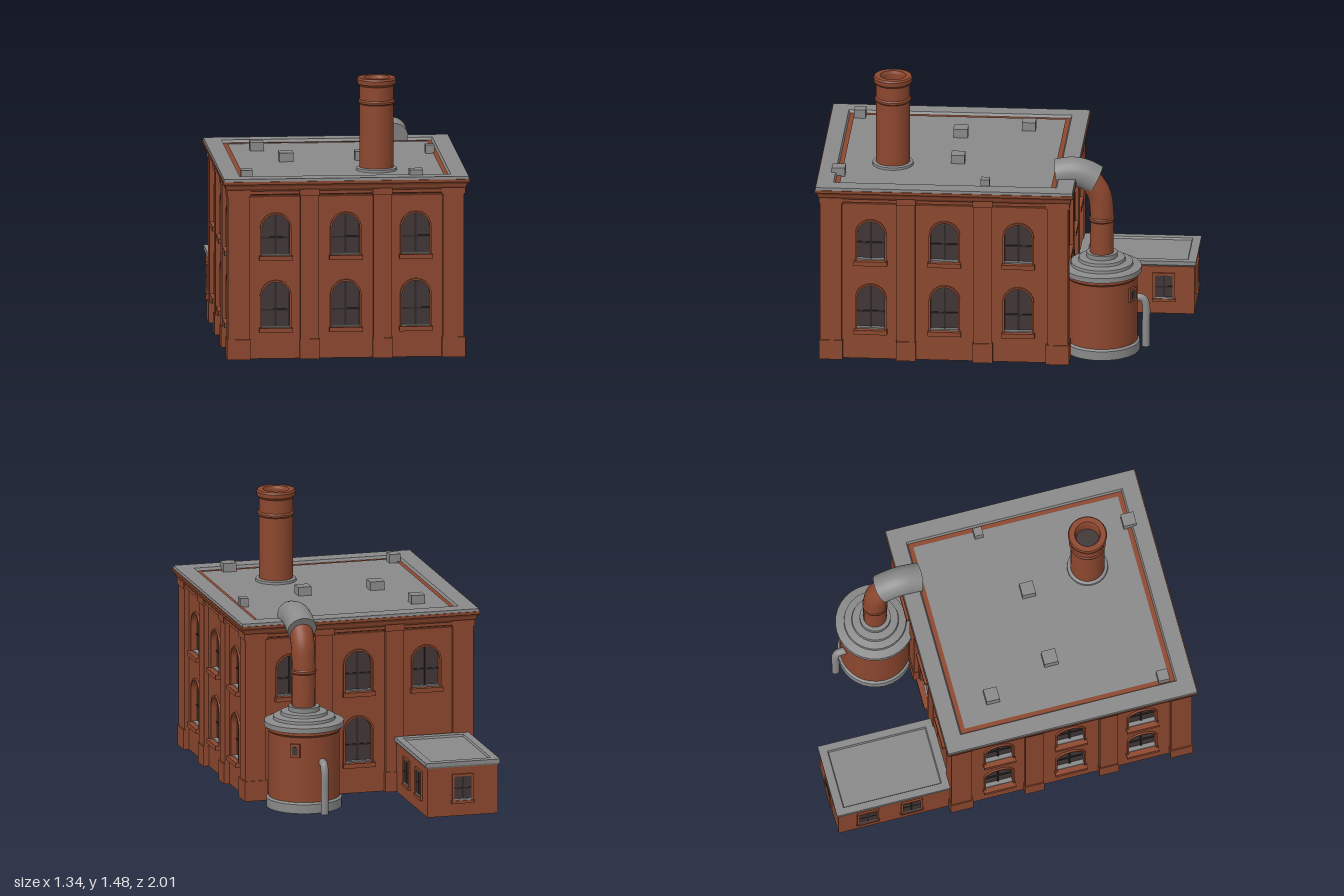
import * as THREE from 'three';

const mat = (name, color, side = THREE.FrontSide) => {
  const m = new THREE.MeshStandardMaterial({ color, side });
  m.name = name;
  return m;
};

export function createModel() {
  const model = new THREE.Group();
  model.name = 'factory';
  const brick = mat('brick', 0x8c472e);
  const grey = mat('grey roofing', 0x8a8989);
  const glass = mat('dark glass', 0x403636);
  const bars = mat('window bars', 0x2c2424);

  const add = (parent, name, geo, m, x = 0, y = 0, z = 0) => {
    const mesh = new THREE.Mesh(geo, m);
    mesh.name = name;
    mesh.position.set(x, y, z);
    parent.add(mesh);
    return mesh;
  };
  // box placed by its bottom centre
  const box = (parent, name, m, w, h, d, x, y, z) =>
    add(parent, name, new THREE.BoxGeometry(w, h, d), m, x, y + h / 2, z);

  // stack of rectangles [halfX, halfZ, y] joined into a faceted shell
  const rectLoft = (rings) => {
    const corners = [[-1, 1], [1, 1], [1, -1], [-1, -1]];
    const pos = [];
    for (let i = 0; i < rings.length - 1; i++) {
      for (let j = 0; j < 4; j++) {
        const p = (r, c) => [r[0] * c[0], r[2], r[1] * c[1]];
        const c0 = corners[j], c1 = corners[(j + 1) % 4];
        const a = p(rings[i], c0), b = p(rings[i], c1);
        const c = p(rings[i + 1], c1), d = p(rings[i + 1], c0);
        pos.push(...a, ...b, ...c, ...a, ...c, ...d);
      }
    }
    const g = new THREE.BufferGeometry();
    g.setAttribute('position', new THREE.Float32BufferAttribute(pos, 3));
    g.computeVertexNormals();
    return g;
  };

  // lathe with hard edges: every profile segment is a separate band
  const turned = (parent, name, m, pts, x, z, seg = 32) => {
    const g = new THREE.Group();
    g.name = name;
    g.position.set(x, 0, z);
    for (let i = 0; i < pts.length - 1; i++) {
      const band = [pts[i], pts[i + 1]].map((p) => new THREE.Vector2(p[0], p[1]));
      add(g, name + 'Band', new THREE.LatheGeometry(band, seg), m);
    }
    parent.add(g);
  };

  const arch = (P, x, y, w, h) => {
    const r = w / 2, s = new P();
    s.moveTo(x - r, y);
    s.lineTo(x + r, y);
    s.lineTo(x + r, y + h - r);
    s.absarc(x, y + h - r, r, 0, Math.PI, false);
    s.lineTo(x - r, y);
    return s;
  };
  const extrude = (shape, depth) =>
    new THREE.ExtrudeGeometry(shape, { depth, bevelEnabled: false, curveSegments: 12 });

  // ---- main building ----
  const CZ = 0.305, HX = 0.64, HZ = 0.672;
  const hall = new THREE.Group();
  hall.name = 'mainBuilding';
  hall.position.z = CZ;
  model.add(hall);
  box(hall, 'core', brick, 2 * HX - 0.11, 0.95, 2 * HZ - 0.11, 0, 0, 0);

  // one facade: recessed wall with arched windows, two inner pilasters
  const facade = (name, half, dist, angle, spots, skip = []) => {
    const f = new THREE.Group();
    f.name = name;
    f.rotation.y = angle;
    f.position.set(Math.sin(angle) * dist, 0, Math.cos(angle) * dist);
    hall.add(f);
    const wall = new THREE.Shape();
    wall.moveTo(-half + 0.03, 0);
    wall.lineTo(half - 0.03, 0);
    wall.lineTo(half - 0.03, 0.9);
    wall.lineTo(-half + 0.03, 0.9);
    wall.closePath();
    spots.forEach((x, col) => [[0.165, 0.255], [0.56, 0.23]].forEach(([y, h], row) => {
      if (skip.includes(col + 3 * row)) return;
      wall.holes.push(arch(THREE.Path, x, y, 0.15, h));
      box(f, 'windowPane', glass, 0.16, h, 0.006, x, y, -0.052);
      box(f, 'windowBarUpright', bars, 0.009, h, 0.01, x, y, -0.048);
      box(f, 'windowBarCross', bars, 0.15, 0.009, 0.01, x, y + 0.095, -0.048);
      box(f, 'windowLedge', grey, 0.15, 0.012, 0.03, x, y, -0.04);
      const frame = arch(THREE.Shape, x, y, 0.17, h + 0.01);
      frame.holes.push(arch(THREE.Path, x, y + 0.001, 0.15, h - 0.001));
      add(f, 'windowFrame', extrude(frame, 0.016), brick, 0, 0, -0.03);
      box(f, 'windowSill', brick, 0.18, 0.025, 0.05, x, y - 0.02, -0.02);
    }));
    add(f, 'wall', extrude(wall, 0.035), brick, 0, 0, -0.06);
    for (const s of [-1, 1]) {
      const x = s * (Math.abs(spots[2] - spots[0]) / 4 + 0.008);
      box(f, 'pilaster', brick, 0.1, 0.92, 0.05, x, 0, -0.025);
      box(f, 'pilasterFoot', brick, 0.108, 0.11, 0.05, x, 0, -0.019);
      box(f, 'pilasterCapital', brick, 0.108, 0.05, 0.05, x, 0.895, -0.017);
    }
  };
  const wide = [-0.38, 0, 0.38], deep = [-0.4, 0, 0.4];
  facade('frontFacade', HX, HZ, 0, wide);
  // hidden lower windows behind the tank and the annex are left out
  facade('backFacade', HX, HZ, Math.PI, wide, [0, 2]);
  facade('leftFacade', HZ, HX, Math.PI / 2, deep);
  facade('rightFacade', HZ, HX, -Math.PI / 2, deep);

  // corner pilasters
  for (const sx of [-1, 1]) for (const sz of [-1, 1]) {
    const x = sx * (HX - 0.0575), z = sz * (HZ - 0.0575);
    box(hall, 'cornerPilaster', brick, 0.115, 0.92, 0.115, x, 0, z);
    box(hall, 'cornerFoot', brick, 0.127, 0.11, 0.127, x, 0, z);
    box(hall, 'cornerCapital', brick, 0.129, 0.05, 0.129, x, 0.895, z);
  }
  // flared cornice and roof tray
  const flare = [[-0.025, 0.885], [-0.015, 0.9], [0, 0.905], [0, 0.922], [0.012, 0.936],
    [0.016, 0.95], [0.029, 0.963], [0.03, 0.978]].map(([o, y]) => [HX + o, HZ + o, y]);
  add(hall, 'cornice', rectLoft([[0, 0, 0.885], ...flare, [HX - 0.1, HZ - 0.1, 0.978]]), brick);
  add(hall, 'roof', rectLoft([[HX + 0.026, HZ + 0.026, 0.976], [HX + 0.024, HZ + 0.024, 0.993],
    [0.572, 0.605, 0.993], [0.562, 0.595, 0.972], [0, 0, 0.972]]), grey);

  // roof vents
  for (const [x, z, s] of [[-0.4, -0.08, 0.074], [-0.27, 0.28, 0.078], [0.14, 0.265, 0.074],
    [0.525, 0.09, 0.048], [-0.53, 0.845, 0.062], [0.385, 0.895, 0.072]]) {
    box(model, 'roofVent', grey, s, 0.055, s, x, 0.965, z);
  }

  // chimney
  turned(model, 'chimney', brick, [[0.093, 0.96], [0.092, 1.335], [0.099, 1.342], [0.099, 1.352],
    [0.092, 1.36], [0.092, 1.435], [0.104, 1.447], [0.106, 1.47], [0.1, 1.48], [0.07, 1.48],
    [0.064, 1.465], [0.064, 1.38]], 0.195, 0.615);
  add(model, 'chimneyMouth', new THREE.CylinderGeometry(0.066, 0.066, 0.006, 32), glass, 0.195, 1.385, 0.615);
  turned(model, 'chimneyCollar', grey, [[0.112, 0.965], [0.11, 0.985], [0.09, 0.99]], 0.195, 0.615);

  // ---- tank ----
  const TX = 0.357, TZ = -0.53;
  turned(model, 'tankBase', grey, [[0, 0], [0.205, 0], [0.205, 0.05], [0.19, 0.062]], TX, TZ);
  turned(model, 'tankBody', brick, [[0.193, 0.05], [0.193, 0.42], [0.202, 0.43], [0.202, 0.455]], TX, TZ);
  turned(model, 'tankLid', grey, [[0.19, 0.445], [0.216, 0.448], [0.216, 0.476], [0.17, 0.486], [0.168, 0.502],
    [0.128, 0.51], [0.125, 0.526], [0.084, 0.53], [0.084, 0.555], [0.05, 0.556]], TX, TZ);
  const hatch = new THREE.Group();
  hatch.name = 'tankHatch';
  hatch.position.set(TX, 0, TZ);
  hatch.rotation.y = Math.PI - 0.52;
  model.add(hatch);
  box(hatch, 'hatchFrame', brick, 0.055, 0.075, 0.03, 0, 0.31, 0.19);
  box(hatch, 'hatchGlass', glass, 0.03, 0.045, 0.006, 0, 0.325, 0.205);

  // pipes following [y, z] points
  const pipe = (name, m, pts, x, r) => {
    const curve = new THREE.CatmullRomCurve3(pts.map(([y, z]) => new THREE.Vector3(x, y, z)), false, 'centripetal');
    add(model, name, new THREE.TubeGeometry(curve, 28, r, 24), m);
    return curve;
  };
  pipe('exhaustPipe', brick, [[0.53, TZ], [0.65, TZ], [0.79, TZ], [0.89, -0.515], [0.965, -0.465], [1.0, -0.41]], 0.36, 0.064);
  turned(model, 'exhaustRing', brick, [[0.064, 0.735], [0.069, 0.742], [0.069, 0.755], [0.064, 0.762]], 0.36, TZ);
  const hood = pipe('exhaustHood', grey, [[0.968, -0.5], [1.002, -0.43], [1.012, -0.37], [0.998, -0.285]], 0.36, 0.08);
  for (const t of [0, 1]) {
    const cap = add(model, 'hoodCap', new THREE.CircleGeometry(0.08, 24), grey);
    const p = hood.getPointAt(t), d = hood.getTangentAt(t).multiplyScalar(t ? 1 : -1);
    cap.position.copy(p);
    cap.lookAt(p.clone().add(d));
  }
  pipe('drainPipe', grey, [[0, -0.765], [0.12, -0.765], [0.235, -0.765], [0.272, -0.75], [0.28, -0.7]], 0.307, 0.021);

  // ---- annex ----
  const annex = new THREE.Group();
  annex.name = 'annex';
  annex.position.set(-0.405, 0, -0.68);
  model.add(annex);
  box(annex, 'annexWalls', brick, 0.395, 0.28, 0.625, 0, 0, 0.003);
  add(annex, 'annexRoof', rectLoft([[0, 0, 0.272], [0.2, 0.315, 0.272], [0.208, 0.32, 0.282], [0.208, 0.32, 0.303],
    [0.168, 0.275, 0.303], [0.163, 0.27, 0.292], [0, 0, 0.292]]), grey);
  const annexWindow = (x, z, angle) => {
    const w = new THREE.Group();
    w.name = 'annexWindow';
    w.position.set(x, 0, z);
    w.rotation.y = angle;
    annex.add(w);
    box(w, 'pane', glass, 0.095, 0.135, 0.006, 0, 0.085, 0.001);
    box(w, 'barUpright', bars, 0.008, 0.135, 0.008, 0, 0.085, 0.002);
    box(w, 'barCross', bars, 0.095, 0.008, 0.008, 0, 0.15, 0.002);
    box(w, 'ledge', grey, 0.095, 0.01, 0.01, 0, 0.085, 0.003);
    for (const s of [-1, 1]) box(w, 'frameSide', brick, 0.013, 0.15, 0.02, s * 0.054, 0.08, 0);
    box(w, 'frameTop', brick, 0.121, 0.013, 0.02, 0, 0.22, 0);
    box(w, 'frameSill', brick, 0.13, 0.016, 0.028, 0, 0.07, 0);
  };
  for (const s of [-1, 1]) {
    for (const z of [-0.145, 0.1]) annexWindow(s * 0.1975, z, s * Math.PI / 2);
  }
  annexWindow(0, -0.3095, Math.PI);

  return model;
}
